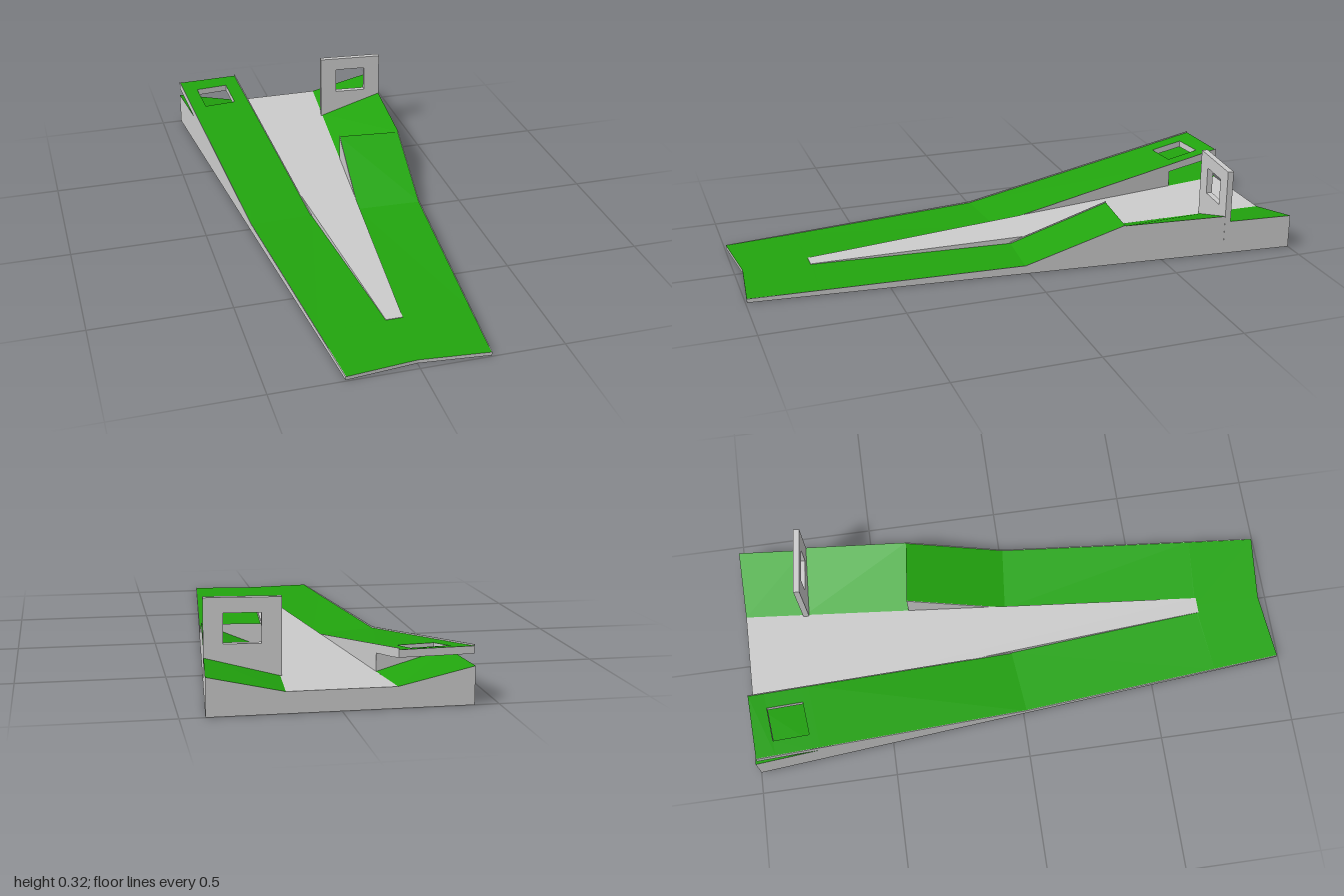
import * as THREE from 'three';

const grey = new THREE.MeshStandardMaterial({ color: 0xcccccc, flatShading: true });
const green = new THREE.MeshStandardMaterial({ color: 0x22a50e, flatShading: true });

// Plan of one lane: both edges fan outwards towards the back
const outerX = z => 0.333 - 0.0875 * z;
const innerX = z => 0.091 - 0.084 * z;

// Lane cross-section at z (slightly skewed): u runs 0 at the outer edge to 1 at the inner edge
function section(z, yOuter, yInner, { u0 = 0, u1 = 1, thick = 0, inner = null } = {}) {
  const point = u => {
    const zz = Math.max(-1, z + 0.012 - 0.024 * u);
    const xo = outerX(zz), xi = inner === null ? innerX(zz) : inner;
    return [xo + (xi - xo) * u, yOuter + (yInner - yOuter) * u, zz];
  };
  const a = point(u0), b = point(u1);
  const base = p => [p[0], thick ? p[1] - thick : 0, p[2]];
  return [a, b, base(b), base(a)];
}

function quadMesh(quads, side, material, name) {
  const pos = [];
  for (const [a, b, c, d] of quads) {
    const order = side > 0 ? [a, b, c, a, c, d] : [a, c, b, a, d, c];
    for (const p of order) pos.push(p[0] * side, p[1], p[2]);
  }
  const g = new THREE.BufferGeometry();
  g.setAttribute('position', new THREE.Float32BufferAttribute(pos, 3));
  g.computeVertexNormals();
  const mesh = new THREE.Mesh(g, material);
  mesh.name = name;
  return mesh;
}

// Solid through four-cornered sections running front to back, with its own top material
function solid(name, side, rings, topMaterial = green) {
  const top = [], body = [];
  for (let i = 0; i < rings.length - 1; i++) {
    const p = rings[i], q = rings[i + 1];
    for (let k = 0; k < 4; k++) {
      const n = (k + 1) % 4;
      (k === 0 ? top : body).push([p[k], q[k], q[n], p[n]]);
    }
  }
  body.push(rings[0], [...rings[rings.length - 1]].reverse());
  const group = new THREE.Group();
  group.name = name;
  group.add(quadMesh(top, side, topMaterial, name + 'Top'), quadMesh(body, side, grey, name + 'Body'));
  return group;
}

// Thin raised edge following [z, yOuter, yInner] stations
function curb(side, u0, u1, stations) {
  const rings = stations.map(([z, yo, yi]) => section(z, yo + 0.005, yi + 0.005, { u0, u1, thick: 0.012 }));
  return solid('curb', side, rings, grey);
}

export function createModel() {
  const model = new THREE.Group();
  model.name = 'twinRampTrack';
  const mid = [0, 0.026, 0.017];

  // Low front lanes, joined in the middle ahead of the valley
  for (const side of [1, -1]) {
    model.add(solid('frontLane', side, [
      section(0.983, 0.013, 0.013, { inner: 0 }),
      section(0.735, 0.015, 0.013, { inner: 0 }),
      section(0.735, 0.015, 0.013),
      section(...mid),
    ]));
    model.add(curb(side, 0, 0.01, [[0.983, 0.009, 0.009], mid]));
  }

  // Grey valley rising between the lanes
  const valleyRing = (z, y) => {
    const w = innerX(z);
    return [[w, y, z], [-w, y, z], [-w, 0, z], [w, 0, z]];
  };
  model.add(solid('valley', 1, [valleyRing(0.73, 0.015), valleyRing(-1, 0.07)], grey));

  // Short ramp on the left, dropping onto a banked landing
  const crest = [-0.37, 0.146, 0.146];
  model.add(solid('shortRamp', 1, [section(...mid), section(...crest)]));
  model.add(solid('landingBank', 1, [section(-0.37, 0.148, 0.05), section(-0.765, 0.147, 0.063)]));

  // Long ramp on the right, ending in an overhanging plate
  const rampY = z => 0.025 - 0.161 * z;
  const lip = [-0.77, rampY(-0.77), rampY(-0.77)];
  const end = [-1, rampY(-1), rampY(-1)];
  model.add(solid('longRamp', -1, [section(...mid), section(...lip)]));

  // Overhanging plate, four strips around a square hole
  const strips = [
    [-0.77, -0.80, 0, 1], [-0.93, -1, 0, 1],
    [-0.80, -0.93, 0, 0.24], [-0.80, -0.93, 0.76, 1],
  ];
  for (const [z0, z1, u0, u1] of strips) {
    model.add(solid('overhangPlate', -1, [z0, z1].map(z =>
      section(z, rampY(z), rampY(z), { u0, u1, thick: 0.025 }))));
  }

  // Ramp edges
  for (const [u0, u1] of [[0, 0.01], [0.99, 1]]) {
    model.add(curb(1, u0, u1, [mid, crest]));
    model.add(curb(-1, u0, u1, [mid, end]));
  }

  // Banked ground at the back on both sides
  for (const side of [1, -1]) {
    model.add(solid('rearBank', side, [section(-0.765, 0.125, 0.063), section(-1, 0.125, 0.07),
      section(-1.02, 0.125, 0.07)]));
  }

  // Upright target panel with a window
  const frame = new THREE.Shape();
  frame.moveTo(-0.125, 0.05).lineTo(0.125, 0.05).lineTo(0.125, 0.32).lineTo(-0.125, 0.32).closePath();
  const window_ = new THREE.Path();
  window_.moveTo(-0.061, 0.17).lineTo(-0.061, 0.27).lineTo(0.061, 0.27).lineTo(0.061, 0.17).closePath();
  frame.holes.push(window_);
  const panelGeo = new THREE.ExtrudeGeometry(frame, { depth: 0.022, bevelEnabled: false });
  panelGeo.translate(0, 0, -0.011);
  const panel = new THREE.Mesh(panelGeo, grey);
  panel.name = 'targetPanel';
  panel.position.set(0.275, 0, -0.762);
  panel.rotation.y = -0.087;
  model.add(panel);

  return model;
}
